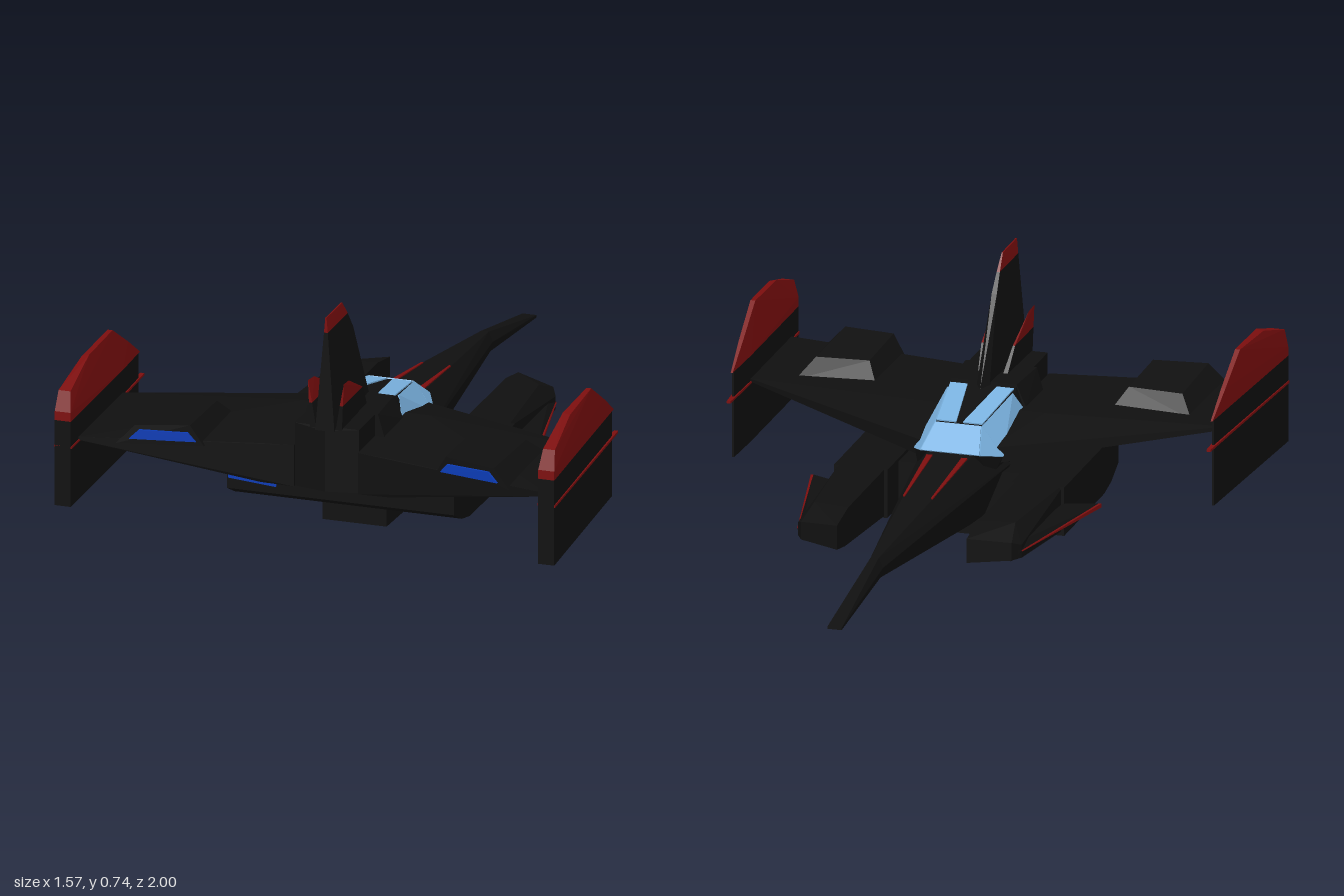
import * as THREE from 'three';
import { ConvexGeometry } from 'three/addons/geometries/ConvexGeometry.js';

const paint = (name, color) => {
  const m = new THREE.MeshStandardMaterial({ color });
  m.name = name;
  return m;
};

export function createModel() {
  const model = new THREE.Group();
  model.name = 'starfighter';
  const black = paint('hull black', 0x101010);
  const red = paint('trim red', 0x7c0e0e);
  const blue = paint('engine blue', 0x0b3bb4);
  const glass = paint('canopy light blue', 0x7ab2e0);

  const V = (p) => new THREE.Vector3(...p);
  // Faceted convex block from its corner points
  const solid = (name, mat, pts) => {
    const mesh = new THREE.Mesh(new ConvexGeometry(pts.map(V)), mat);
    mesh.name = name;
    model.add(mesh);
  };
  const flip = (pts) => pts.map(([x, y, z]) => [-x, y, z]);
  // Block spanning both sides of the centre line
  const centred = (name, mat, pts) => solid(name, mat, [...pts, ...flip(pts)]);
  // Left and right copies
  const pair = (name, mat, pts) => {
    solid(name + 'Left', mat, pts);
    solid(name + 'Right', mat, flip(pts));
  };
  // Thin plate lying on a face, thickened along both sides of its plane
  const plate = (pts, t = 0.004) => {
    const [a, b, c] = pts.map(V);
    const n = b.sub(a).cross(c.sub(a)).normalize().multiplyScalar(t);
    return [1, -1].flatMap((s) => pts.map(([x, y, z]) => [x + s * n.x, y + s * n.y, z + s * n.z]));
  };
  const box = (x0, x1, y0, y1, z0, z1) =>
    [x0, x1].flatMap((x) => [y0, y1].flatMap((y) => [z0, z1].map((z) => [x, y, z])));

  // Long needle nose and forward fuselage
  const noseBase = [[0.012, 0.21, -0.6], [0.025, 0.18, -0.6], [0.018, 0.15, -0.6]];
  centred('noseNeedle', black, [[0.022, 0.118, -1], [0.022, 0.125, -1], ...noseBase]);
  centred('forwardFuselage', black, [...noseBase,
    [0.07, 0.288, 0.15], [0.11, 0.2, 0.15], [0.06, 0.07, 0.15],
    [0.08, 0.285, 0.3], [0.14, 0.22, 0.3], [0.08, 0.07, 0.3]]);
  pair('noseStripe', red, plate([[0.04, 0.254, -0.17], [0.046, 0.254, -0.17], [0.063, 0.285, 0.12], [0.045, 0.285, 0.12]]));

  // Cockpit block and rear body
  const F = [0.09, 0.288, 0.15];
  const T = [0.07, 0.35, 0.235], B = [0.135, 0.262, 0.235];
  const T2 = [0.1, 0.395, 0.49], B2 = [0.13, 0.31, 0.52];
  centred('cockpit', black, [F, T, B, T2, B2, [0.13, 0.2, 0.52], [0.11, 0.2, 0.2]]);
  centred('rearBody', black, [[0.1, 0.4, 0.49], [0.11, 0.4, 0.66], [0.13, 0.33, 0.49], [0.13, 0.33, 0.66],
    [0.13, 0.18, 0.49], [0.13, 0.18, 0.66]]);
  centred('tailBlock', black, [...box(0, 0.1, 0.2, 0.398, 0.6, 0.8), [0, 0.2, 0.82], [0, 0.39, 0.82]]);
  // Canopy panes
  solid('windscreen', glass, plate([F, T, flip([T])[0], flip([F])[0]]));
  pair('frontQuarterPane', glass, plate([F, B, T]));
  pair('sidePane', glass, plate([T, B, [0.13, 0.305, 0.5], [0.098, 0.385, 0.45]]));
  pair('roofPane', glass, plate([[0.01, 0.352, 0.245], [0.07, 0.352, 0.245], [0.098, 0.392, 0.47], [0.045, 0.392, 0.47]]));

  // Wings
  pair('wing', black, [
    [0.1, 0.24, 0.225], [0.1, 0.29, 0.225], [0.1, 0.335, 0.45], [0.2, 0.335, 0.45],
    [0.1, 0.2, 0.45], [0.2, 0.205, 0.45], [0.1, 0.33, 0.81], [0.2, 0.33, 0.825], [0.1, 0.2, 0.81],
    [0.2, 0.208, 0.825], [0.735, 0.312, 0.53], [0.735, 0.321, 0.53], [0.735, 0.312, 0.93], [0.735, 0.321, 0.93]]);

  // Engine housings on top of the wings, with glowing exhausts
  pair('engineHousing', black, [
    [0.36, 0.315, 0.58], [0.61, 0.315, 0.58], [0.4, 0.375, 0.64], [0.565, 0.37, 0.64],
    [0.36, 0.315, 0.87], [0.615, 0.315, 0.93], [0.4, 0.38, 0.88], [0.56, 0.374, 0.915]]);
  pair('engineExhaust', blue, plate([
    [0.382, 0.33, 0.879], [0.575, 0.333, 0.924], [0.545, 0.362, 0.917], [0.405, 0.358, 0.884]]));

  // Lower body, belly box and side nacelles
  centred('lowerBody', black, [...box(0, 0.2, 0.07, 0.21, 0.25, 0.56), [0.2, 0.21, 0.68], [0.2, 0.12, 0.68], [0.2, 0.085, 0.61]]);
  centred('bellyBox', black, [[0.1, 0.08, 0.27], [0.1, 0.0, 0.27], [0.1, 0.08, 0.555], [0.1, 0.01, 0.555]]);
  pair('nacelle', black, [...box(0.19, 0.355, 0.07, 0.22, 0.14, 0.54),
    [0.19, 0.22, 0.68], [0.355, 0.22, 0.68], [0.19, 0.12, 0.68], [0.355, 0.12, 0.68], [0.19, 0.085, 0.61], [0.355, 0.085, 0.61]]);
  solid('nacelleExhaust', blue, plate([[-0.35, 0.22, 0.682], [-0.35, 0.155, 0.682], [-0.2, 0.143, 0.682], [-0.2, 0.212, 0.682]]));

  // Forward pods with swept side blades
  pair('forwardPod', black, [
    [0.2, 0.125, -0.33], [0.2, 0.2, -0.33], [0.325, 0.13, -0.285], [0.325, 0.185, -0.285],
    [0.2, 0.11, -0.25], [0.2, 0.22, -0.22], [0.31, 0.22, -0.2], [0.345, 0.17, -0.25], [0.345, 0.13, -0.25],
    [0.2, 0.07, 0.2], [0.345, 0.075, 0.2], [0.2, 0.22, 0.2], [0.345, 0.22, 0.2]]);
  pair('podBlade', black, [
    [0.32, 0.125, -0.28], [0.32, 0.175, -0.28], [0.345, 0.15, -0.255],
    [0.35, 0.125, 0.14], [0.35, 0.17, 0.14], [0.445, 0.148, 0.22], [0.445, 0.154, 0.22]]);
  pair('podBladeEdge', red, [
    [0.348, 0.15, -0.25], [0.345, 0.153, -0.25], [0.448, 0.145, 0.21], [0.448, 0.157, 0.21],
    [0.44, 0.145, 0.21], [0.44, 0.157, 0.21]]);

  // Wingtip fins: wedge plan, black lower part and red crest
  const finPlan = (y, grow = 0, front = 0.38) => [
    [0.737 - grow, y, front], [0.743 + grow, y, front], [0.732 - grow, y, 0.53],
    [0.73 - grow, y, 1], [0.78 + grow, y, 1]];
  pair('wingtipFin', black, [...finPlan(0.125), ...finPlan(0.392)]);
  pair('wingtipStripe', red, [...finPlan(0.307, 0.003, 0.335), ...finPlan(0.314, 0.003, 0.335)]);
  pair('wingtipCrest', red, [...finPlan(0.392, 0, 0.365),
    [0.73, 0.42, 1], [0.78, 0.42, 1], [0.738, 0.48, 0.98], [0.775, 0.48, 0.98],
    [0.737, 0.46, 0.47], [0.75, 0.46, 0.47], [0.74, 0.535, 0.81], [0.762, 0.53, 0.81],
    [0.74, 0.54, 0.6], [0.755, 0.54, 0.6]]);

  // Central tail fin with red cap
  centred('tailFin', black, [
    [0.03, 0.39, 0.82], [0.02, 0.39, 0.48], [0, 0.39, 0.45], [0.01, 0.5, 0.54], [0.02, 0.5, 0.81],
    [0.008, 0.64, 0.59], [0.005, 0.695, 0.63], [0.006, 0.695, 0.81]]);
  centred('tailFinCap', red, [
    [0.005, 0.695, 0.63], [0.006, 0.695, 0.81], [0.002, 0.742, 0.67], [0.002, 0.742, 0.81]]);

  // Small fins flanking the tail
  pair('smallFin', black, [
    [0.03, 0.39, 0.57], [0.045, 0.39, 0.57], [0.03, 0.39, 0.81], [0.05, 0.39, 0.81],
    [0.045, 0.47, 0.63], [0.052, 0.47, 0.63], [0.043, 0.47, 0.81], [0.053, 0.47, 0.81]]);
  pair('smallFinTip', red, [
    [0.045, 0.47, 0.63], [0.052, 0.47, 0.63], [0.043, 0.47, 0.81], [0.053, 0.47, 0.81],
    [0.054, 0.535, 0.76], [0.056, 0.54, 0.81]]);

  return model;
}
